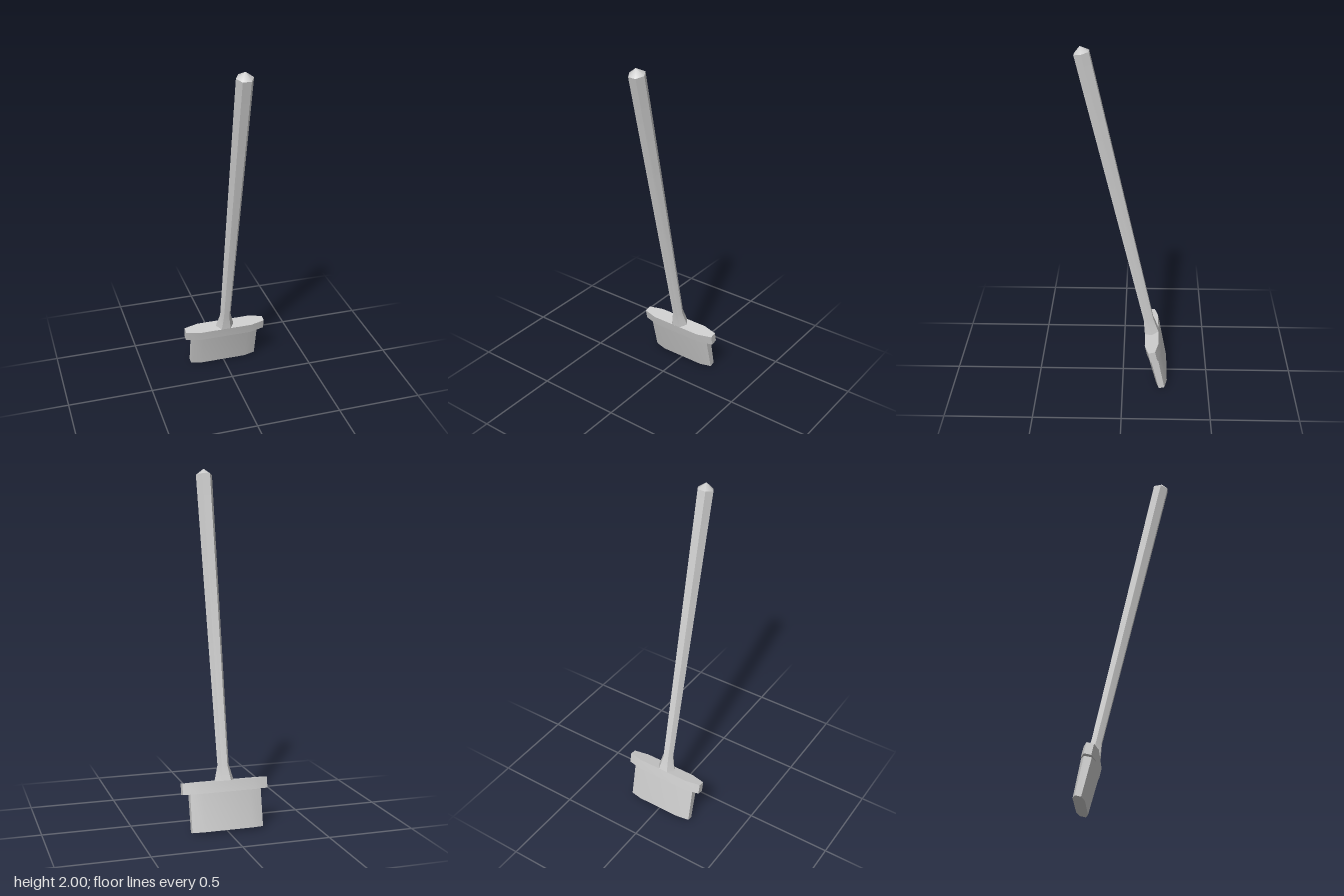
import * as THREE from 'three';
import { toCreasedNormals } from 'three/addons/utils/BufferGeometryUtils.js';

const material = new THREE.MeshStandardMaterial({ color: 0xcccccc });

function addPart(group, name, geometry) {
  const mesh = new THREE.Mesh(toCreasedNormals(geometry, 0.7), material);
  mesh.name = name;
  group.add(mesh);
}

// Upright prism over a long octagon with narrowed ends
function octagonPrism(halfX, cornerX, halfZ, endZ, y0, y1) {
  const quarter = [[halfX, endZ], [cornerX, halfZ]];
  const points = [
    ...quarter,
    ...quarter.map(([x, z]) => [-x, z]).reverse(),
    ...quarter.map(([x, z]) => [-x, -z]),
    ...quarter.map(([x, z]) => [x, -z]).reverse(),
  ].map(([x, z]) => new THREE.Vector2(x, z));
  const geometry = new THREE.ExtrudeGeometry(new THREE.Shape(points), { depth: y1 - y0, bevelEnabled: false });
  return geometry.rotateX(-Math.PI / 2).translate(0, y0, 0);
}

export function createModel() {
  const broom = new THREE.Group();
  broom.name = 'broom';

  // Bristles: thinner towards the floor, flush with the head on the broad sides
  const bristles = octagonPrism(0.206, 0.138, 0.041, 0.021, 0, 0.214);
  const b = bristles.attributes.position;
  for (let i = 0; i < b.count; i++) {
    if (b.getY(i) < 0.1) b.setZ(i, b.getZ(i) * 0.8);
  }
  addPart(broom, 'bristles', bristles);

  // Head block
  addPart(broom, 'head', octagonPrism(0.247, 0.16, 0.041, 0.02, 0.212, 0.273));

  // Six-sided handle with flared socket and pointed tip
  const profile = [[0.056, 0.272], [0.033, 0.36], [0.048, 2.008], [0, 2.044]]
    .map(([r, y]) => new THREE.Vector2(r, y));
  const handle = new THREE.LatheGeometry(profile, 6, Math.PI / 6);
  const h = handle.attributes.position;
  for (let i = 0; i < h.count; i++) {
    // keep the socket within the depth of the head
    if (h.getY(i) < 0.3) h.setZ(i, THREE.MathUtils.clamp(h.getZ(i), -0.041, 0.041));
  }
  addPart(broom, 'handle', handle);

  // Lean the whole broom forward
  broom.rotation.x = 0.226;
  broom.position.set(0, 0.0075, -0.23);

  const model = new THREE.Group();
  model.add(broom);
  return model;
}
